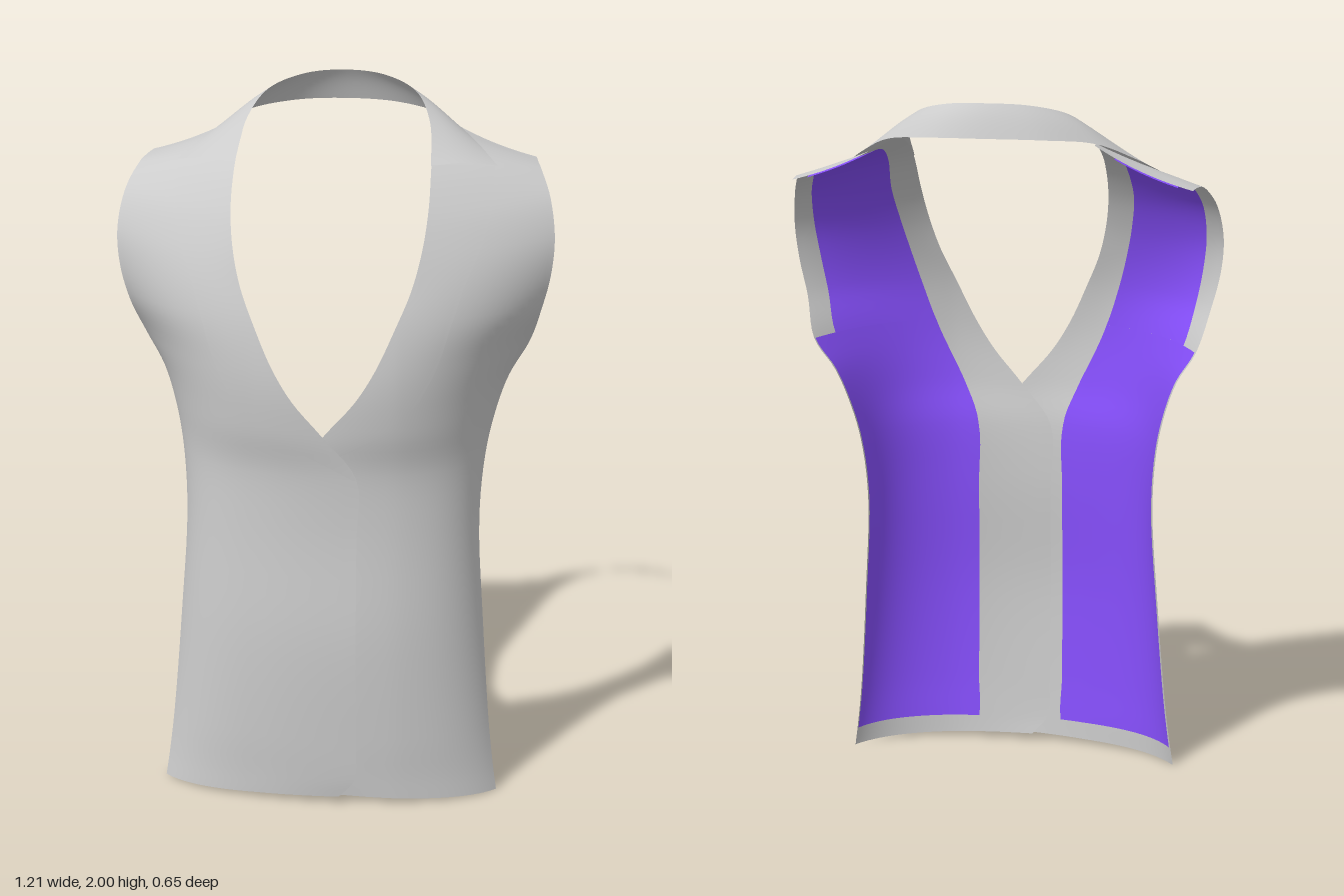
import * as THREE from 'three';

const cloth = new THREE.MeshStandardMaterial({ color: 0xcccccc, side: THREE.DoubleSide });
const liningCloth = new THREE.MeshStandardMaterial({ color: 0x8850ff, side: THREE.DoubleSide });

// Half-panel rows from hem to shoulder: front edge, bulge control, side edge (x, y, z each)
const rows = [
  [-0.04, 0.022, 0.275, 0.36, 0.01, 0.285, 0.48, 0, 0.14],
  [-0.085, 0.08, 0.282, 0.36, 0.08, 0.293, 0.47, 0.07, 0.134],
  [-0.09, 0.2, 0.29, 0.36, 0.2, 0.305, 0.455, 0.2, 0.125],
  [-0.09, 0.5, 0.303, 0.36, 0.5, 0.315, 0.432, 0.5, 0.1],
  [-0.09, 0.8, 0.288, 0.36, 0.8, 0.305, 0.415, 0.8, 0.075],
  [-0.09, 0.98, 0.292, 0.36, 0.98, 0.31, 0.427, 0.98, 0.045],
  [0, 1.1, 0.308, 0.37, 1.1, 0.32, 0.452, 1.1, 0.015],
  [0.085, 1.2, 0.314, 0.39, 1.2, 0.3, 0.487, 1.2, -0.01],
  [0.14, 1.29, 0.308, 0.41, 1.29, 0.28, 0.54, 1.29, -0.03],
  [0.19, 1.4, 0.288, 0.42, 1.4, 0.25, 0.573, 1.4, 0.035],
  [0.231, 1.5, 0.255, 0.42, 1.5, 0.215, 0.597, 1.5, 0.045],
  [0.256, 1.6, 0.215, 0.435, 1.6, 0.155, 0.605, 1.6, 0.03],
  [0.268, 1.7, 0.157, 0.45, 1.7, 0.08, 0.59, 1.7, -0.02],
  [0.268, 1.8, 0.066, 0.42, 1.79, -0.005, 0.562, 1.762, -0.1],
  [0.265, 1.868, -0.075, 0.4, 1.82, -0.12, 0.55, 1.773, -0.165],
  [0.28, 1.885, -0.215, 0.4, 1.81, -0.222, 0.543, 1.774, -0.228],
];
const last = rows.length - 1;
const V = (a, i = 0) => new THREE.Vector3(a[i], a[i + 1], a[i + 2]);
const spline = pts => new THREE.CatmullRomCurve3(pts);
const [edge, bulge, side] = [0, 3, 6].map(i => spline(rows.map(r => V(r, i))));

// Point on the half panel; u runs from front edge to side, v is the row number
function panelPoint(u, v) {
  const t = v / last;
  return new THREE.QuadraticBezierCurve3(edge.getPoint(t), bulge.getPoint(t), side.getPoint(t)).getPoint(u);
}

// Panel point raised along its normal; the right front laps over the left one
function raised(u, v, height, s) {
  const p = panelPoint(u, v), e = 0.01;
  if (height) {
    const du = panelPoint(Math.min(1, u + e), v).sub(panelPoint(Math.max(0, u - e), v));
    const dv = panelPoint(u, Math.min(last, v + e)).sub(panelPoint(u, Math.max(0, v - e)));
    p.addScaledVector(du.cross(dv).normalize(), height);
  }
  p.z += -s * 0.014 * THREE.MathUtils.clamp((0.2 - p.x) / 0.29, 0, 1) * (p.z > 0.2 ? 1 : 0);
  p.x *= s;
  return p;
}

// Smooth sheet over a grid of points
function sheet(name, fn, nu, nv, flip, material) {
  const pos = [], index = [];
  for (let j = 0; j <= nv; j++) for (let i = 0; i <= nu; i++) {
    pos.push(...fn(i / nu, j / nv).toArray());
    if (i < nu && j < nv) {
      const a = j * (nu + 1) + i, b = a + 1, c = a + nu + 1, d = c + 1;
      index.push(...(flip ? [a, c, b, b, c, d] : [a, b, c, b, d, c]));
    }
  }
  const g = new THREE.BufferGeometry();
  g.setAttribute('position', new THREE.Float32BufferAttribute(pos, 3));
  g.setIndex(index);
  g.computeVertexNormals();
  const mesh = new THREE.Mesh(g, material);
  mesh.name = name;
  return mesh;
}

// Linear lookup in a short list
function lookup(list, x) {
  const i = Math.min(list.length - 2, Math.floor(x));
  return THREE.MathUtils.lerp(list[i], list[i + 1], x - i);
}

// Lapel width as a share of the panel, rows 5 to 13
const lapelWidth = [0.01, 0.22, 0.31, 0.32, 0.33, 0.36, 0.43, 0.48, 0.55];
// Facing width along the front edge, every row
const facing = [0.24, 0.26, 0.27, 0.27, 0.27, 0.27, 0.25, 0.23, 0.22, 0.22, 0.22, 0.22, 0.22, 0.22, 0.22, 0.22];

function front(s) {
  const g = new THREE.Group();
  g.name = s > 0 ? 'leftFront' : 'rightFront';
  g.add(sheet('frontPanel', (u, t) => raised(u, t * last, 0, s), 24, 75, s < 0, cloth));
  g.add(sheet('lapel', (u, t) => raised(u * lookup(lapelWidth, t * 8), 5 + t * 8, 0.007, s), 12, 40, s < 0, cloth));
  // Lining stops short of the hem, front facing and armhole band
  const lining = (name, v0, v1, end) => g.add(sheet(name, (u, t) => {
    const v = v0 + t * (v1 - v0), start = lookup(facing, v);
    return raised(start + u * (end - start), v, -0.004, s);
  }, 18, 36, s < 0, liningCloth));
  lining('lowerLining', 0.85, 8, 1);
  lining('upperLining', 8, last, 0.86);
  return g;
}

// Collar band around the back of the neck: fold line and outer edge, mirrored
function collar() {
  const fold = [[0.268, 1.803, 0.072], [0.252, 1.9, -0.075], [0.205, 1.962, -0.18], [0.11, 1.993, -0.255], [0, 2, -0.282]];
  const outer = [[0.443, 1.788, -0.025], [0.37, 1.842, -0.125], [0.28, 1.89, -0.215], [0.15, 1.908, -0.298], [0, 1.912, -0.323]];
  const around = half => spline([
    ...half.map(p => V(p)),
    ...half.slice(0, -1).reverse().map(([x, y, z]) => new THREE.Vector3(-x, y, z)),
  ]);
  const a = around(fold), b = around(outer);
  return sheet('collar', (u, t) => {
    const p = a.getPoint(t).lerp(b.getPoint(t), u);
    p.y += 0.008 * Math.sin(Math.PI * u);
    return p;
  }, 10, 64, false, cloth);
}

export function createModel() {
  const model = new THREE.Group();
  model.name = 'vestFront';
  model.add(front(1), front(-1), collar());
  return model;
}
